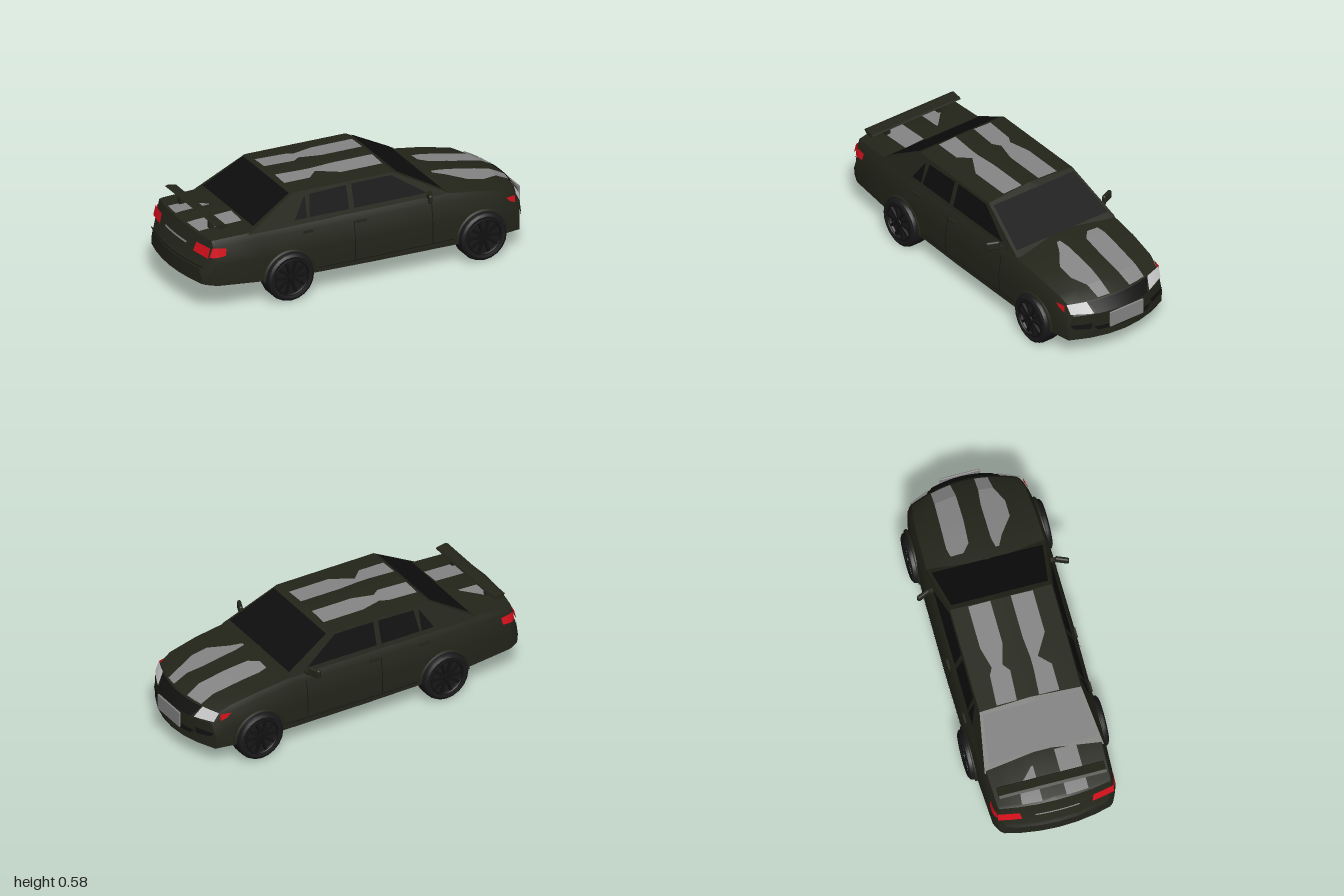
import * as THREE from 'three';
import { toCreasedNormals } from 'three/addons/utils/BufferGeometryUtils.js';
import { ConvexGeometry } from 'three/addons/geometries/ConvexGeometry.js';
import { RoundedBoxGeometry } from 'three/addons/geometries/RoundedBoxGeometry.js';

const mat = (color) => new THREE.MeshStandardMaterial({ color, side: THREE.DoubleSide });
const paint = mat(0x23251a), glass = mat(0x0d0d0d), black = mat(0x111112), tyreMat = mat(0x18181a);
const stripeMat = mat(0x858585), lens = mat(0xcccccc), red = mat(0xd8101c), seam = mat(0x14150f);

// Body stations: x, bottom, top, half width, crown slope
const stations = [
  [-1, 0.165, 0.25, 0.29, 0], [-0.985, 0.163, 0.27, 0.31, 0], [-0.94, 0.158, 0.415, 0.33, 0.03],
  [-0.92, 0.155, 0.423, 0.335, 0.05], [-0.65, 0.135, 0.435, 0.345, 0.07], [-0.45, 0.125, 0.43, 0.35, 0.07],
  [0, 0.12, 0.43, 0.355, 0.07], [0.44, 0.115, 0.43, 0.352, 0.07], [0.65, 0.112, 0.398, 0.347, 0.06],
  [0.85, 0.11, 0.36, 0.335, 0.05], [0.935, 0.108, 0.315, 0.32, 0.02], [0.98, 0.105, 0.25, 0.31, 0],
];
const lerp = THREE.MathUtils.lerp;

function interp(table, v) {
  let i = 0;
  while (i < table.length - 2 && v > table[i + 1][0]) i++;
  const a = table[i], b = table[i + 1];
  const t = THREE.MathUtils.clamp((v - a[0]) / (b[0] - a[0]), 0, 1);
  return a.map((n, k) => lerp(n, b[k], t));
}

// Bows the nose and tail in plan
function warp(x, z) {
  const bow = x > 0.5 ? 0.11 * ((x - 0.5) / 0.48) ** 2 : x < -0.6 ? -0.06 * ((x + 0.6) / 0.4) ** 2 : 0;
  return x - bow * (z / 0.35) ** 2;
}

// Half section from the top centre, out and down to the bottom centre
function section([x, b, t, w, c]) {
  const edge = t - c * w * 0.91;
  const drop = Math.min(0.035, (edge - b) * 0.3);
  return [[0, t], [0.1, t - c * 0.1], [0.2, t - c * 0.2], [w * 0.91, edge], [w * 0.955, edge - drop],
    [w, lerp(b, t, 0.45)], [w * 0.985, b], [0.2, b], [0.1, b], [0, b]].map(([z, y]) => [warp(x, z), y, z]);
}

function sideZ(x, y) {
  const [, b, t, w, c] = interp(stations, x);
  const mid = lerp(b, t, 0.45), top = t - c * w * 0.91 - 0.035;
  return y > mid ? lerp(w, w * 0.955, Math.min(1, (y - mid) / (top - mid))) : lerp(w, w * 0.985, (mid - y) / (mid - b));
}

function bodyGeometry() {
  const pos = [], idx = [], n = 10;
  for (const s of [1, -1]) {
    const base = pos.length / 3;
    for (const st of stations) for (const [x, y, z] of section(st)) pos.push(x, y, z * s);
    const quad = (a, b, c, d) => {
      const q = (s > 0 ? [a, b, c, d] : [d, c, b, a]).map((k) => k + base);
      idx.push(q[0], q[1], q[2], q[0], q[2], q[3]);
    };
    const last = stations.length - 1;
    for (let i = 0; i < last; i++) for (let k = 0; k < n - 1; k++)
      quad(i * n + k, i * n + k + 1, (i + 1) * n + k + 1, (i + 1) * n + k);
    const f = last * n;
    for (let k = 0; k < 3; k++) {
      quad(f + k, f + k + 1, f + 8 - k, f + 9 - k);
      quad(9 - k, 8 - k, k + 1, k);
    }
    quad(f + 3, f + 4, f + 5, f + 6);
    quad(6, 5, 4, 3);
  }
  const g = new THREE.BufferGeometry();
  g.setAttribute('position', new THREE.Float32BufferAttribute(pos, 3));
  g.setIndex(idx);
  return toCreasedNormals(g, 0.35);
}

// Four 2D corners filled with a grid and laid onto a surface by map(u, v)
function patch(corners, map, nu = 6, nv = 2) {
  const g = new THREE.PlaneGeometry(1, 1, nu, nv), p = g.attributes.position;
  const [a, b, c, d] = corners;
  for (let i = 0; i < p.count; i++) {
    const u = p.getX(i) + 0.5, v = p.getY(i) + 0.5;
    const at = (k) => lerp(lerp(a[k], b[k], u), lerp(d[k], c[k], u), v);
    p.setXYZ(i, ...map(at(0), at(1)));
  }
  g.computeVertexNormals();
  return g;
}

const noseTable = [[0.1, 0.98], [0.25, 0.98], [0.315, 0.935], [0.36, 0.85]];
const tailTable = [[0.16, -1], [0.25, -1], [0.27, -0.985], [0.415, -0.94]];
const onNose = (z, y) => [warp(interp(noseTable, y)[1], z) + 0.006, y, z];
const onTail = (z, y) => [warp(interp(tailTable, y)[1], z) - 0.006, y, z];
const onSide = (s) => (x, y) => { const z = sideZ(x, y); return [warp(x, z), y, s * (z + 0.004)]; };
const onDeck = (x, z) => { const r = interp(stations, x); return [warp(x, z), r[2] - r[4] * Math.abs(z) + 0.005, z]; };
const onRoof = (x, z) => [x, 0.586 - 0.04 * Math.abs(z), z];
const cabinZ = (y) => lerp(0.322, 0.275, (y - 0.405) / 0.167);
const onCabin = (s) => (x, y) => [x, y, s * (cabinZ(y) + 0.003)];
const rect = (a, b, c, d) => [[a, c], [b, c], [b, d], [a, d]];

export function createModel() {
  const car = new THREE.Group();
  const add = (name, geometry, material, parent = car) => {
    const m = new THREE.Mesh(geometry, material);
    m.name = name;
    parent.add(m);
    return m;
  };
  add('body', bodyGeometry(), paint);

  // Cabin with a slightly crowned roof
  const hull = [[-0.41, 0.583, 0], [0.16, 0.583, 0]];
  for (const s of [1, -1]) hull.push([-0.42, 0.572, s * 0.275], [0.17, 0.57, s * 0.275], [0.475, 0.405, s * 0.322], [-0.70, 0.405, s * 0.322]);
  add('cabin', new ConvexGeometry(hull.map((p) => new THREE.Vector3(...p))), paint);

  // Windscreen and rear window
  const screen = (xTop, xLow, off) => (z, y) => [lerp(xLow, xTop, (y - 0.405) / 0.167) + off, y + 0.004, z];
  add('windscreen', patch([[-0.3, 0.424], [0.3, 0.424], [0.262, 0.56], [-0.262, 0.56]], screen(0.17, 0.475, 0.004)), glass);
  add('rearWindow', patch([[-0.29, 0.432], [0.29, 0.432], [0.262, 0.565], [-0.262, 0.565]], screen(-0.42, -0.7, -0.004)), glass);

  // Racing stripes with ragged edges
  const stripes = [
    [onDeck, [[0.51, -0.18, -0.11], [0.56, -0.19, -0.07], [0.7, -0.185, -0.06], [0.85, -0.18, -0.06], [0.932, -0.18, -0.07]]],
    [onDeck, [[0.5, 0.06, 0.08], [0.56, 0.05, 0.11], [0.66, 0.05, 0.18], [0.76, 0.05, 0.18], [0.85, 0.06, 0.14], [0.932, 0.06, 0.13]]],
    [onRoof, [[-0.41, -0.18, -0.07], [-0.24, -0.17, -0.06], [-0.2, -0.15, -0.09], [-0.08, -0.18, -0.06], [0.16, -0.18, -0.06]]],
    [onRoof, [[-0.41, 0.05, 0.16], [-0.26, 0.06, 0.16], [-0.2, 0.06, 0.1], [-0.08, 0.05, 0.17], [0.16, 0.05, 0.17]]],
    [onDeck, [[-0.93, -0.18, -0.07], [-0.83, -0.17, -0.07], [-0.73, -0.08, -0.07]]],
    [onDeck, [[-0.93, 0.06, 0.18], [-0.8, 0.06, 0.18], [-0.67, 0.06, 0.18]]],
  ];
  for (const [map, rows] of stripes) for (let i = 0; i < rows.length - 1; i++) {
    const [x0, a0, b0] = rows[i], [x1, a1, b1] = rows[i + 1];
    add('stripe', patch([[x0, b0], [x1, b1], [x1, a1], [x0, a0]], map, 3, 2), stripeMat);
  }

  // Nose: grille, slats, lower intake, plate
  add('grille', patch([[-0.16, 0.252], [0.16, 0.252], [0.195, 0.312], [-0.195, 0.312]], onNose, 10), black);
  for (const y of [0.265, 0.28, 0.295]) add('grilleSlat', patch(rect(-0.165, 0.165, y, y + 0.004), (z, v) => { const p = onNose(z, v); p[0] += 0.003; return p; }, 10, 1), seam);
  add('lowerIntake', patch([[-0.16, 0.15], [0.16, 0.15], [0.185, 0.175], [-0.185, 0.175]], onNose, 10), black);
  add('frontPlate', new RoundedBoxGeometry(0.01, 0.09, 0.218, 2, 0.004), stripeMat).position.set(0.995, 0.21, 0);
  add('trunkTrim', patch(rect(-0.12, 0.12, 0.335, 0.345), onTail), stripeMat);
  add('bumperSeam', patch(rect(-0.29, 0.29, 0.258, 0.264), onTail, 10), seam);

  for (const s of [1, -1]) {
    const flip = (q) => q.map(([z, y]) => [z * s, y]);
    // Lamps
    add('headlight', patch(flip([[0.18, 0.255], [0.295, 0.265], [0.302, 0.315], [0.2, 0.315]]), onNose), lens);
    add('frontMarker', patch([[0.89, 0.285], [0.937, 0.268], [0.937, 0.309], [0.86, 0.309]], onSide(s)), red);
    add('fogSlot', patch(flip([[0.2, 0.165], [0.285, 0.175], [0.302, 0.2], [0.19, 0.198]]), onNose), black);
    add('tailLight', patch(flip([[0.19, 0.32], [0.315, 0.315], [0.312, 0.37], [0.2, 0.37]]), onTail), red);
    add('tailLightSide', patch([[-0.962, 0.315], [-0.865, 0.32], [-0.855, 0.36], [-0.947, 0.37]], onSide(s)), red);

    // Side windows
    const panes = [
      [[-0.43, 0.432], [-0.355, 0.432], [-0.355, 0.545], [-0.362, 0.54]],
      [[-0.343, 0.432], [-0.11, 0.432], [-0.11, 0.556], [-0.325, 0.55]],
      [[-0.08, 0.432], [0.345, 0.432], [0.155, 0.558], [-0.08, 0.558]],
    ];
    for (const q of panes) add('sideWindow', patch(q, onCabin(s)), glass);

    // Door seams and handles
    for (const x of [-0.095, 0.36]) add('doorSeam', patch(rect(x, x + 0.005, 0.15, 0.37), onSide(s), 1, 6), seam);
    add('sillSeam', patch(rect(-0.31, 0.49, 0.148, 0.152), onSide(s), 8, 1), seam);
    for (const x of [-0.36, -0.05]) add('doorHandle', new THREE.BoxGeometry(0.055, 0.012, 0.012), paint).position.set(x, 0.365, s * (sideZ(x, 0.365) + 0.004));

    // Door mirror
    const mirror = add('mirror', new RoundedBoxGeometry(0.022, 0.05, 0.076, 2, 0.01), paint);
    mirror.position.set(0.335, 0.43, s * 0.375);
    mirror.rotation.y = -s * 0.4;
    add('mirrorArm', new THREE.BoxGeometry(0.02, 0.015, 0.05), paint).position.set(0.352, 0.415, s * 0.325);

    // Wheels and arches
    for (const x of [-0.475, 0.655]) {
      const arch = add('wheelArch', new THREE.TorusGeometry(0.146, 0.01, 6, 20, Math.PI), paint);
      arch.position.set(x, 0.13, s * 0.346);
      const wheel = new THREE.Group();
      wheel.name = 'wheel';
      wheel.position.set(x, 0.1375, s * 0.32);
      wheel.rotation.y = s > 0 ? 0 : Math.PI;
      const profile = [[0, -0.055], [0.12, -0.058], [0.134, -0.05], [0.1375, -0.03], [0.1375, 0.035], [0.132, 0.052], [0.118, 0.06], [0.102, 0.056], [0.097, 0.035], [0, 0.035]];
      const tyre = new THREE.LatheGeometry(profile.map((p) => new THREE.Vector2(...p)), 20);
      add('tyre', toCreasedNormals(tyre.rotateX(Math.PI / 2), 0.6), tyreMat, wheel);
      add('rim', new THREE.TorusGeometry(0.098, 0.006, 5, 20), black, wheel).position.z = 0.053;
      for (let i = 0; i < 10; i++) {
        const spoke = add('spoke', new THREE.BoxGeometry(0.082, 0.014, 0.014).translate(0.056, 0, 0.046), black, wheel);
        spoke.rotation.z = (i * Math.PI) / 5;
      }
      add('hub', new THREE.CylinderGeometry(0.02, 0.024, 0.024, 12).rotateX(Math.PI / 2), black, wheel).position.z = 0.046;
      car.add(wheel);
    }
    add('spoilerPost', new THREE.BoxGeometry(0.03, 0.045, 0.025), paint).position.set(-0.845, 0.442, s * 0.17);
  }

  // Spoiler blade, raised at the trailing edge
  const blade = new THREE.Shape([[-0.88, 0.478], [-0.865, 0.482], [-0.815, 0.473], [-0.81, 0.465], [-0.83, 0.456], [-0.86, 0.458]].map((p) => new THREE.Vector2(...p)));
  add('spoilerBlade', new THREE.ExtrudeGeometry(blade, { depth: 0.58, bevelEnabled: false }).translate(0, 0, -0.29), paint);
  return car;
}
